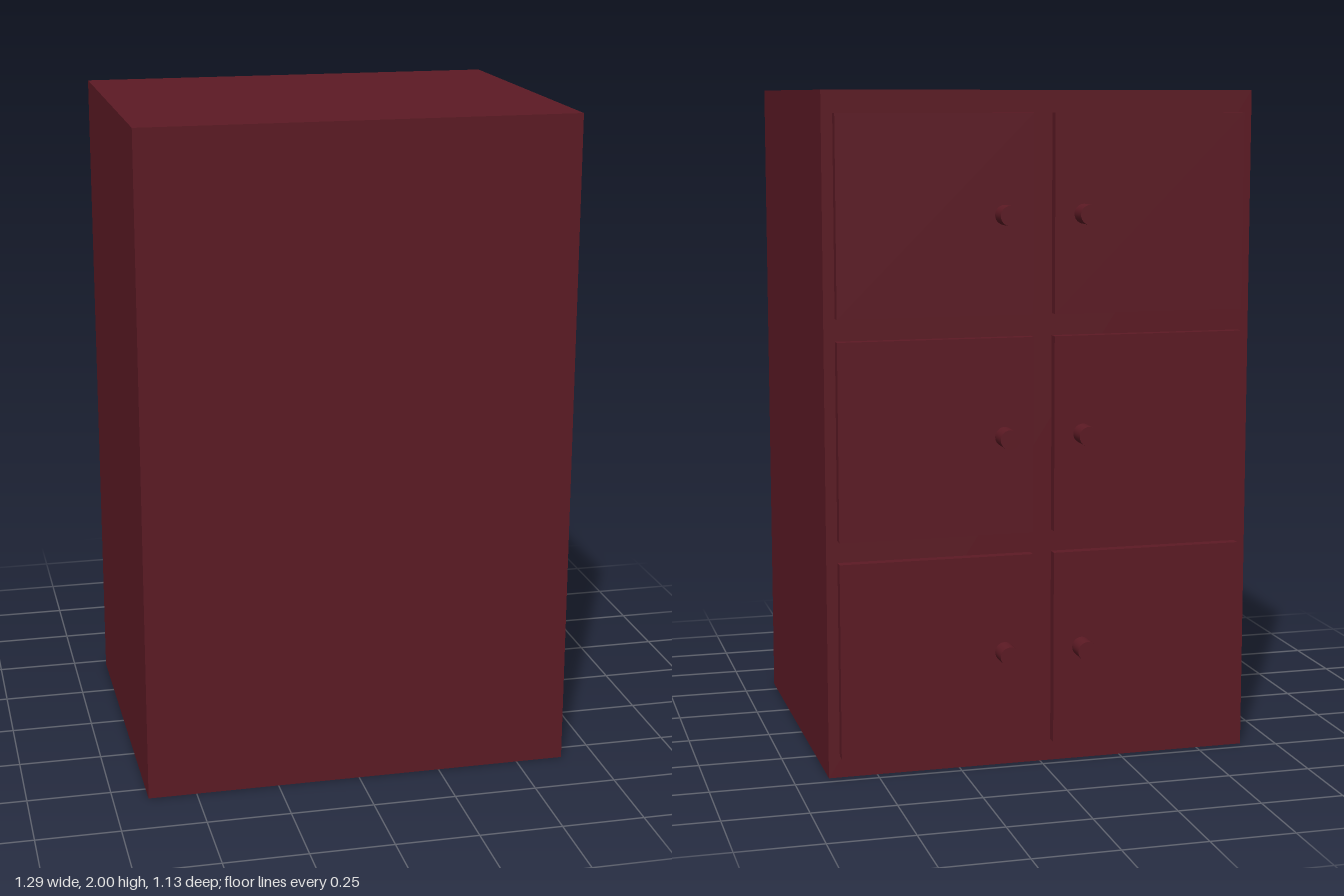
import * as THREE from 'three';

export function createModel() {
  const model = new THREE.Group();
  model.name = 'cabinet';
  const paint = new THREE.MeshStandardMaterial({ color: 0x5c1a24 });

  const add = (name, geometry, x, y, z) => {
    const mesh = new THREE.Mesh(geometry, paint);
    mesh.name = name;
    mesh.position.set(x, y, z);
    model.add(mesh);
  };

  // Carcass
  const backZ = -0.468, frontZ = 0.564;
  add('carcass', new THREE.BoxGeometry(1.29, 2, frontZ - backZ), 0, 1, (frontZ + backZ) / 2);

  // Three rows of paired doors on the -z side, knobs near the middle
  const doorDepth = 0.032, knobLength = 0.064;
  const door = new THREE.BoxGeometry(0.58, 0.58, doorDepth);
  const knob = new THREE.CylinderGeometry(0.029, 0.029, knobLength, 24).rotateX(Math.PI / 2);
  for (const y of [0.355, 1, 1.645]) {
    for (const side of [-1, 1]) {
      add('door', door, side * 0.322, y, backZ - doorDepth / 2);
      add('knob', knob, side * 0.119, y, backZ - doorDepth - knobLength / 2);
    }
  }

  return model;
}
